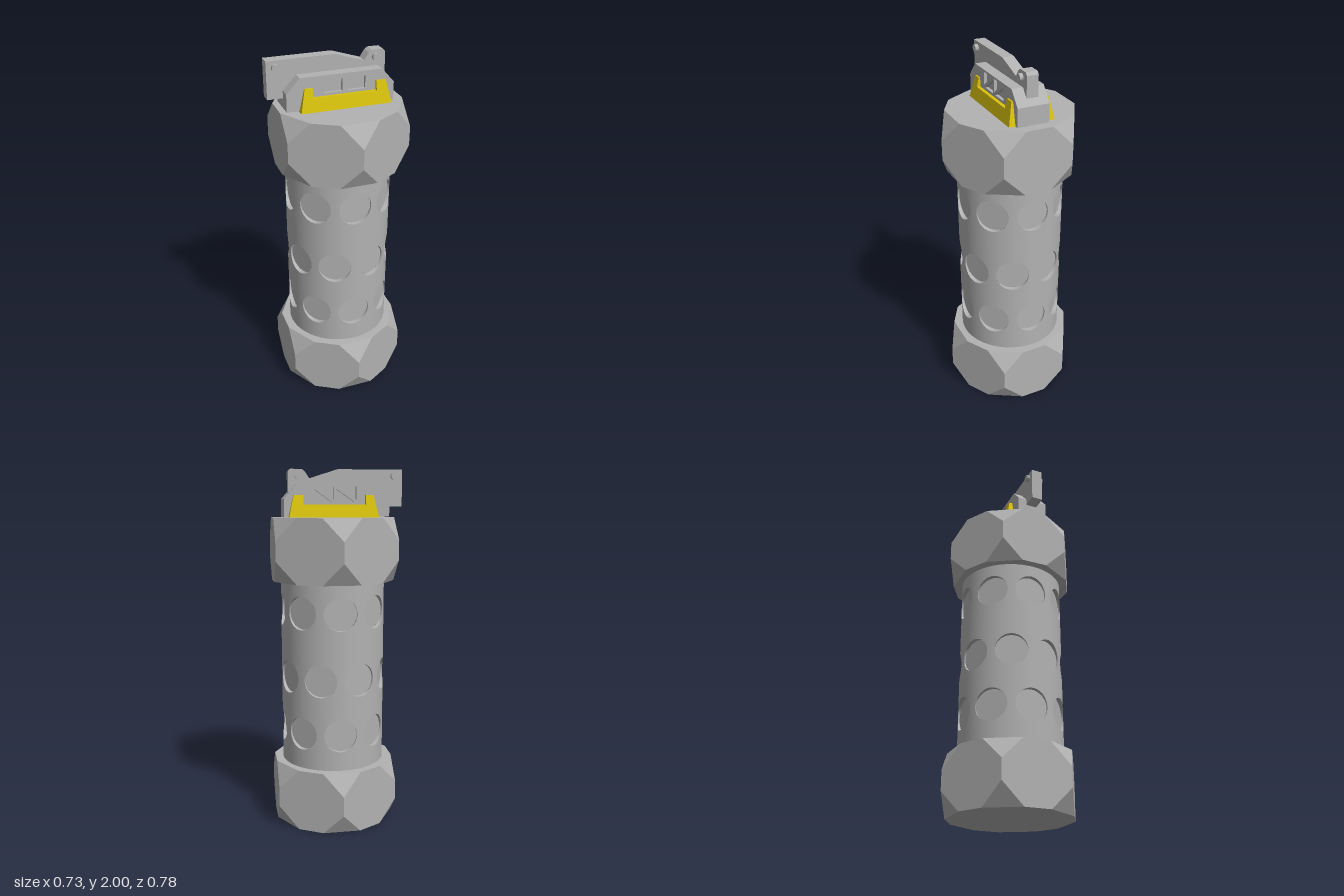
import * as THREE from 'three';
import { ConvexGeometry } from 'three/addons/geometries/ConvexGeometry.js';

const R = 0.293;        // tube radius
const DIMPLE = 0.092;   // dimple radius
const FLOOR = 0.268;    // distance of dimple floors from the axis
const CELL = 0.115;     // half height of the wall patch around a dimple
const STEP = Math.PI / 4;

const grey = new THREE.MeshStandardMaterial({ color: 0xb2b2b2 });
grey.name = 'grey metal';
const yellow = new THREE.MeshStandardMaterial({ color: 0xd9c20c });
yellow.name = 'yellow bracket';

function add(parent, name, geometry, material = grey) {
  const mesh = new THREE.Mesh(geometry, material);
  mesh.name = name;
  parent.add(mesh);
  return mesh;
}

function polygon(points) {
  return new THREE.Shape(points.map(([x, y]) => new THREE.Vector2(x, y)));
}

function extrude(shape, z0, z1) {
  const geo = new THREE.ExtrudeGeometry(shape, { depth: z1 - z0, bevelEnabled: false });
  return geo.translate(0, 0, z0);
}

// Closed strip of quads between two loops of points
function strip(inner, outer) {
  const n = inner.length, index = [];
  for (let i = 0; i < n; i++) {
    const j = (i + 1) % n;
    index.push(i, n + i, n + j, i, n + j, j);
  }
  const geo = new THREE.BufferGeometry();
  geo.setAttribute('position', new THREE.Float32BufferAttribute([...inner, ...outer].flat(), 3));
  geo.setIndex(index);
  geo.computeVertexNormals();
  return geo;
}

// Hexagonal nut with every corner cut off
function nutGeometry(height) {
  const corner = k => new THREE.Vector3(0.39 * Math.sin(k * Math.PI / 3), 0, 0.39 * Math.cos(k * Math.PI / 3));
  const points = [];
  for (let k = 0; k < 6; k++) {
    const c = corner(k);
    for (const side of [-1, 1]) {
      points.push(c.clone().setY(side * (height / 2 - 0.12)));
      for (const next of [k - 1, k + 1]) {
        points.push(c.clone().lerp(corner(next), 0.31).setY(side * height / 2));
      }
    }
  }
  return new ConvexGeometry(points);
}

// Curved wall patch, rim wall and flat floor of one dimple, facing +z
function dimpleGeometries() {
  const rim = [], base = [], edge = [];
  for (let i = 0; i < 32; i++) {
    const t = (i % 8) / 4 - 1;
    const [u, v] = [[1, t], [-t, 1], [-1, -t], [t, -1]][Math.floor(i / 8)];
    const len = Math.hypot(u, v);
    const x = DIMPLE * u / len, y = DIMPLE * v / len;
    rim.push([x, y, Math.sqrt(R * R - x * x)]);
    base.push([x, y, FLOOR]);
    const a = u * STEP / 2;
    edge.push([R * Math.sin(a), v * CELL, R * Math.cos(a)]);
  }
  const patch = strip(rim, edge);
  const pos = patch.attributes.position, nor = patch.attributes.normal;
  for (let i = 0; i < pos.count; i++) nor.setXYZ(i, pos.getX(i) / R, 0, pos.getZ(i) / R);
  const floor = new THREE.CircleGeometry(DIMPLE, 32).translate(0, 0, FLOOR);
  return { tubeWall: patch, dimpleRim: strip(base, rim), dimpleFloor: floor };
}

function buildTube() {
  const tube = new THREE.Group();
  tube.name = 'dimpledTube';
  const parts = dimpleGeometries();
  const rows = [[0.55, 0], [0.86, 0.5], [1.23, 0]];
  let bottom = 0.35;
  const band = (y0, y1) => {
    const geo = new THREE.CylinderGeometry(R, R, y1 - y0, 64, 1, true);
    add(tube, 'tubeBand', geo.translate(0, (y0 + y1) / 2, 0));
  };
  for (const [y, shift] of rows) {
    band(bottom, y - CELL);
    bottom = y + CELL;
    for (let k = 0; k < 8; k++) {
      const cell = new THREE.Group();
      cell.name = 'dimple';
      for (const [name, geo] of Object.entries(parts)) add(cell, name, geo);
      cell.position.y = y;
      cell.rotation.y = (k + shift) * STEP;
      tube.add(cell);
    }
  }
  band(bottom, 1.39);
  return tube;
}

function buildTop() {
  const top = new THREE.Group();
  top.name = 'leverAssembly';

  // Yellow bracket, tapering towards its top
  const bracket = extrude(polygon([
    [-0.215, 1.74], [0.28, 1.74], [0.252, 1.86], [0.2, 1.86],
    [0.2, 1.81], [-0.145, 1.81], [-0.145, 1.86], [-0.188, 1.86],
  ]), -1, 1);
  const p = bracket.attributes.position;
  for (let i = 0; i < p.count; i++) {
    p.setZ(i, p.getZ(i) * (0.128 - 0.026 * (p.getY(i) - 1.74) / 0.12));
  }
  bracket.computeVertexNormals();
  add(top, 'bracket', bracket, yellow);

  // Block with triangular pockets on both sides
  const block = polygon([
    [-0.282, 1.745], [0.303, 1.74], [0.303, 1.84], [0.235, 1.917], [-0.21, 1.917], [-0.282, 1.84],
  ]);
  for (const x of [-0.095, 0.03]) {
    const x1 = x + 0.112, y = 1.824, y1 = 1.906, g = 0.012;
    block.holes.push(
      polygon([[x, y + g], [x, y1], [x1 - g, y1]]),
      polygon([[x + g, y], [x1, y], [x1, y1 - g]]));
  }
  add(top, 'block', extrude(block, -0.083, 0.093));
  add(top, 'blockCore', new THREE.BoxGeometry(0.28, 0.11, 0.14).translate(0.025, 1.855, 0.005));

  // Lever with two cross pins
  add(top, 'lever', extrude(polygon([
    [-0.365, 1.8], [-0.25, 1.8], [-0.2, 1.86], [0.275, 1.86], [0.275, 1.985], [0.262, 2],
    [0.2, 2], [0.183, 1.988], [0.158, 1.95], [0, 2], [-0.365, 2],
  ]), -0.033, 0.031));
  for (const x of [-0.318, 0.22]) {
    const pin = new THREE.CylinderGeometry(0.02, 0.02, 0.102, 20);
    add(top, 'pin', pin.rotateX(Math.PI / 2).translate(x, 1.965, 0));
  }
  return top;
}

export function createModel() {
  const model = new THREE.Group();
  model.name = 'canister';

  const body = new THREE.Group();
  body.name = 'body';
  body.position.x = 0.025;
  body.add(buildTube());
  const nut = nutGeometry(0.35);
  add(body, 'lowerNut', nut).position.y = 0.175;
  add(body, 'upperNut', nut).position.y = 1.565;

  model.add(body, buildTop());
  return model;
}
